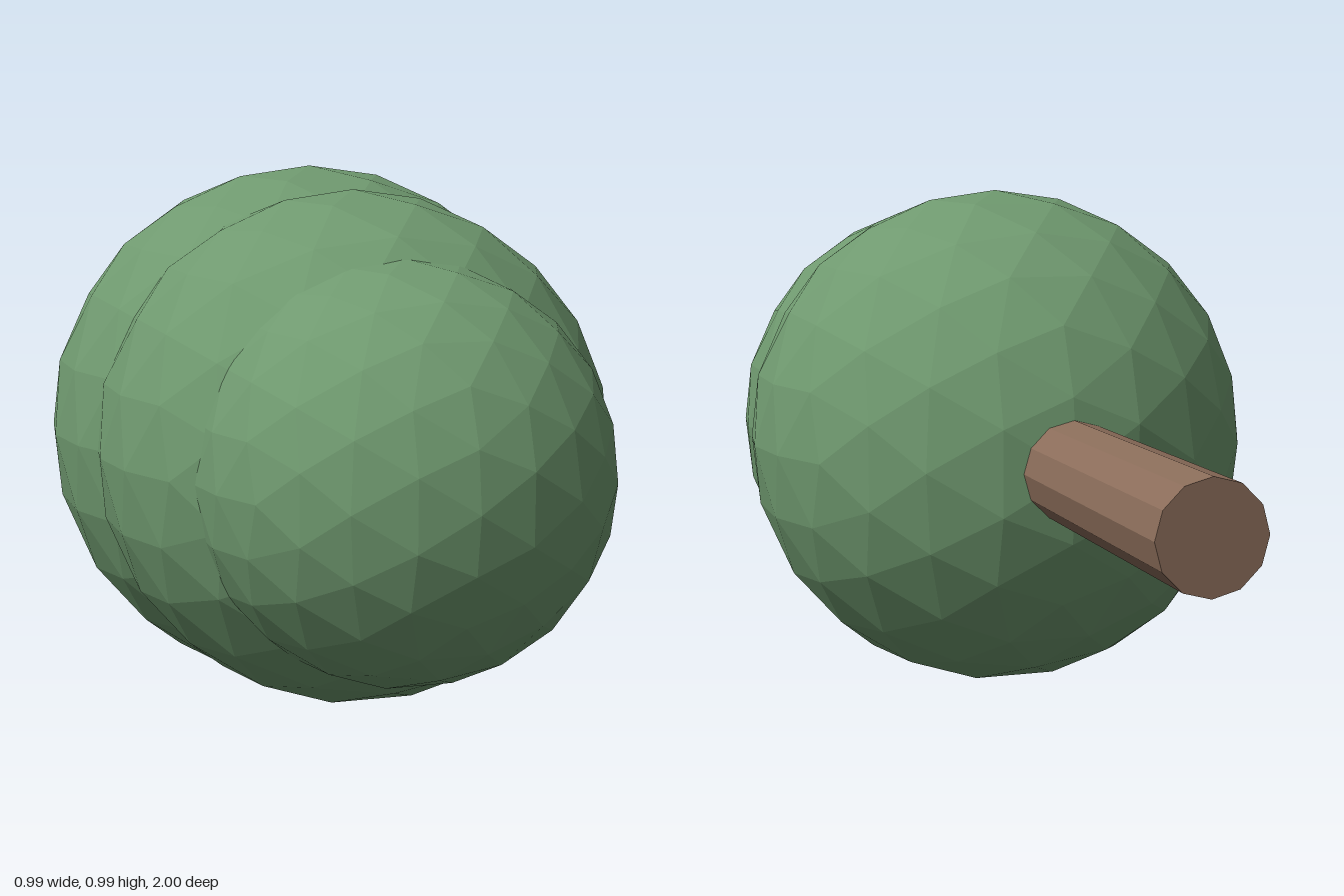
import * as THREE from 'three';

// Faceted ball: an icosahedron whose edges are halved and pushed out to the sphere
function icoBall(radius, passes) {
  const base = new THREE.IcosahedronGeometry(1, 0).getAttribute('position');
  let points = [];
  for (let i = 0; i < base.count; i++) {
    points.push(new THREE.Vector3().fromBufferAttribute(base, i).normalize());
  }
  const middle = (a, b) => a.clone().add(b).normalize();
  for (let pass = 0; pass < passes; pass++) {
    const next = [];
    for (let i = 0; i < points.length; i += 3) {
      const [a, b, c] = points.slice(i, i + 3);
      const ab = middle(a, b), bc = middle(b, c), ca = middle(c, a);
      next.push(a, ab, ca, ab, b, bc, ca, bc, c, ab, bc, ca);
    }
    points = next;
  }
  const geometry = new THREE.BufferGeometry().setFromPoints(points);
  geometry.scale(radius, radius, radius);
  geometry.computeVertexNormals();
  return geometry;
}

export function createModel() {
  const model = new THREE.Group();
  model.name = 'fallenTree';
  const axisY = 0.495;

  const leafGreen = new THREE.MeshStandardMaterial({ color: 0x6f996f, flatShading: true });
  leafGreen.name = 'leaf green';
  const barkBrown = new THREE.MeshStandardMaterial({ color: 0x8b6d5a, flatShading: true });
  barkBrown.name = 'bark brown';

  // Three overlapping balls of foliage, shrinking towards the tip
  const foliage = [
    ['lowerFoliage', 0.494, 0.1],
    ['middleFoliage', 0.46, 0.37],
    ['upperFoliage', 0.358, 0.642],
  ];
  for (const [name, radius, z] of foliage) {
    const ball = new THREE.Mesh(icoBall(radius, 2), leafGreen);
    ball.name = name;
    ball.position.set(0, axisY, z);
    model.add(ball);
  }

  // Trunk lying along z, its inner end buried in the foliage
  const trunkLength = 0.75;
  const trunk = new THREE.Mesh(new THREE.CylinderGeometry(0.094, 0.094, trunkLength, 12), barkBrown);
  trunk.name = 'trunk';
  trunk.rotation.x = Math.PI / 2;
  trunk.position.set(0, axisY, -1 + trunkLength / 2);
  model.add(trunk);

  return model;
}
